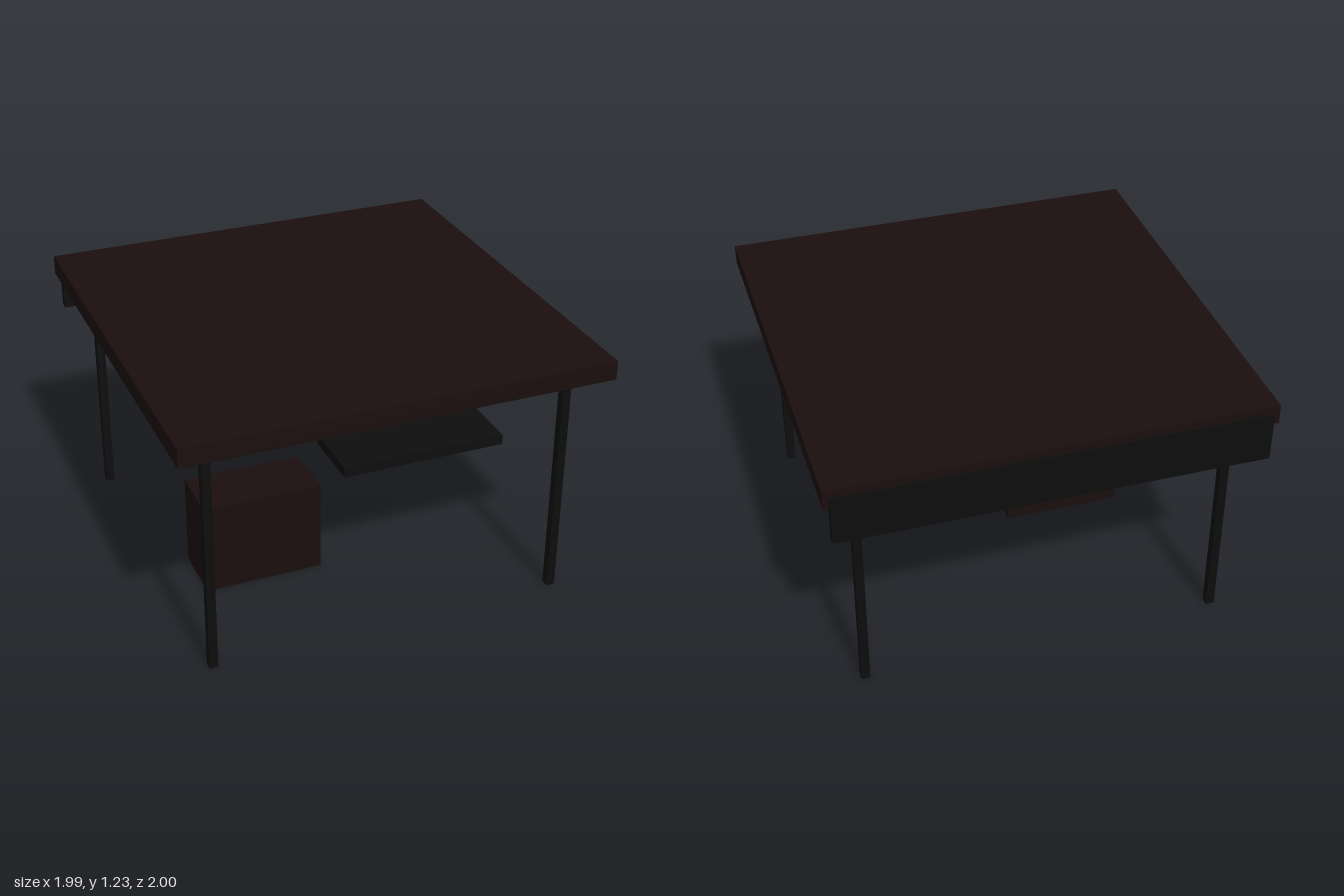
import * as THREE from 'three';

export function createModel() {
  const model = new THREE.Group();
  const wood = new THREE.MeshStandardMaterial({ color: 0x1a0e0d });
  const black = new THREE.MeshStandardMaterial({ color: 0x0d0d0d });

  // Box given by its [min, max] extent on each axis
  function addBox(name, material, [x0, x1], [y0, y1], [z0, z1]) {
    const mesh = new THREE.Mesh(new THREE.BoxGeometry(x1 - x0, y1 - y0, z1 - z0), material);
    mesh.position.set((x0 + x1) / 2, (y0 + y1) / 2, (z0 + z1) / 2);
    mesh.name = name;
    model.add(mesh);
  }

  // Table top and the panel hanging behind its rear edge
  addBox('tableTop', wood, [-0.995, 0.995], [1.135, 1.226], [-0.99, 1]);
  addBox('backPanel', black, [-0.967, 0.967], [0.957, 1.19], [-1, -0.957]);

  // Four square legs
  const half = 0.02;
  for (const x of [-0.837, 0.837]) {
    for (const z of [-0.831, 0.846]) {
      const side = x > 0 ? 'Left' : 'Right';
      addBox((z > 0 ? 'front' : 'back') + side + 'Leg', black,
        [x - half, x + half], [0, 1.135], [z - half, z + half]);
    }
  }

  // Cabinet on the floor and the shelf beside it
  addBox('cabinet', wood, [-0.682, -0.109], [0, 0.448], [0.022, 0.312]);
  addBox('shelf', black, [0.024, 0.858], [0.446, 0.498], [-0.058, 0.284]);

  return model;
}
